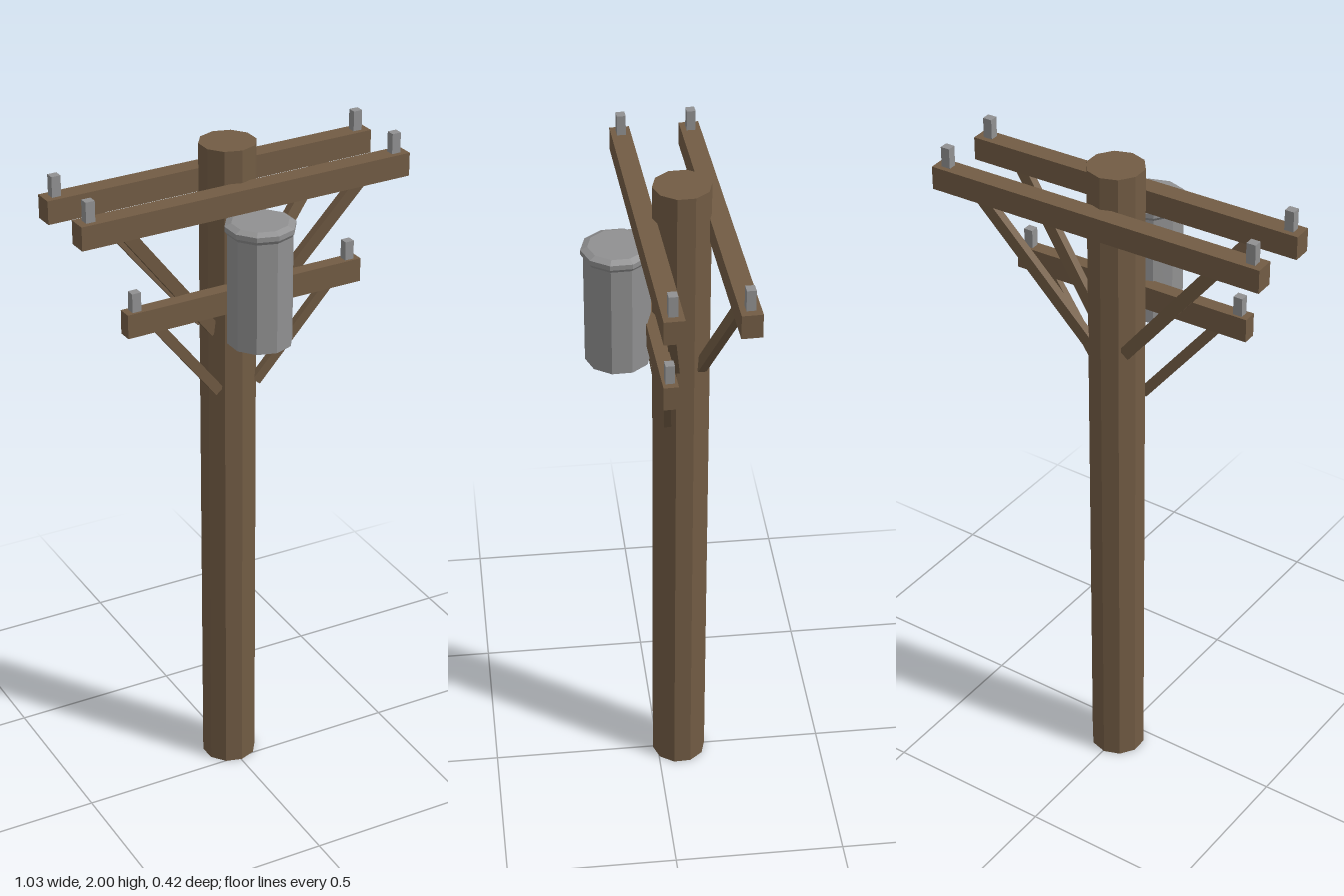
import * as THREE from 'three';

export function createModel() {
  const model = new THREE.Group();
  model.name = 'utilityPole';
  const wood = new THREE.MeshStandardMaterial({ color: 0x725c44, flatShading: true });
  wood.name = 'wood';
  const metal = new THREE.MeshStandardMaterial({ color: 0x909091, flatShading: true });
  metal.name = 'grey metal';

  // Everything is built around the pole axis, then turned slightly
  const body = new THREE.Group();
  body.name = 'poleAssembly';
  body.position.z = -0.066;
  body.rotation.y = 0.0375;
  model.add(body);

  const add = (name, geometry, material, x, y, z) => {
    const mesh = new THREE.Mesh(geometry, material);
    mesh.name = name;
    mesh.position.set(x, y, z);
    body.add(mesh);
    return mesh;
  };

  // Slanted timber between two points, its wide face kept towards the front
  const brace = (name, from, to, width, depth) => {
    const dir = to.clone().sub(from);
    const mid = from.clone().add(to).multiplyScalar(0.5);
    const mesh = add(name, new THREE.BoxGeometry(width, dir.length(), depth), wood, mid.x, mid.y, mid.z);
    const up = dir.normalize();
    const side = new THREE.Vector3().crossVectors(up, new THREE.Vector3(0, 0, 1)).normalize();
    const front = new THREE.Vector3().crossVectors(side, up);
    mesh.quaternion.setFromRotationMatrix(new THREE.Matrix4().makeBasis(side, up, front));
  };

  // Pole
  add('pole', new THREE.CylinderGeometry(0.081, 0.081, 2, 10), wood, 0, 1, 0);

  // Crossarms, each with two insulators and two braces
  const arms = [
    { name: 'upperFront', length: 1.02, bottom: 1.838, top: 1.906, depth: 0.056, z: 0.099, pinX: 0.475, pinTop: 1.965,
      braceTop: [0.37, 1.85, 0.095], braceFoot: [0.06, 1.46, 0.027], braceWidth: 0.036, braceDepth: 0.024 },
    { name: 'upperBack', length: 1.02, bottom: 1.838, top: 1.906, depth: 0.056, z: -0.099, pinX: 0.475, pinTop: 1.965,
      braceTop: [0.37, 1.85, -0.1], braceFoot: [0.06, 1.46, -0.047], braceWidth: 0.036, braceDepth: 0.024 },
    { name: 'lower', length: 0.74, bottom: 1.54, top: 1.61, depth: 0.041, z: 0.085, pinX: 0.338, pinTop: 1.665,
      braceTop: [0.275, 1.55, 0.083], braceFoot: [0.06, 1.28, 0.048], braceWidth: 0.03, braceDepth: 0.02 },
  ];
  for (const a of arms) {
    add(a.name + 'Crossarm', new THREE.BoxGeometry(a.length, a.top - a.bottom, a.depth), wood,
      0, (a.top + a.bottom) / 2, a.z);
    for (const s of [1, -1]) {
      const side = s > 0 ? 'Left' : 'Right';
      add(a.name + 'Insulator' + side, new THREE.BoxGeometry(0.027, a.pinTop - a.top + 0.01, 0.025), metal,
        s * a.pinX, (a.pinTop + a.top - 0.01) / 2, a.z);
      const [tx, ty, tz] = a.braceTop;
      const [fx, fy, fz] = a.braceFoot;
      brace(a.name + 'Brace' + side, new THREE.Vector3(s * fx, fy, fz), new THREE.Vector3(s * tx, ty, tz),
        a.braceWidth, a.braceDepth);
    }
  }

  // Transformer can with a flared lid
  const profile = [[0, 1.475], [0.092, 1.475], [0.092, 1.8], [0.099, 1.81], [0.099, 1.824], [0.08, 1.832], [0, 1.832]]
    .map(([r, y]) => new THREE.Vector2(r, y));
  add('transformer', new THREE.LatheGeometry(profile, 10), metal, 0, 0, 0.176);

  return model;
}
